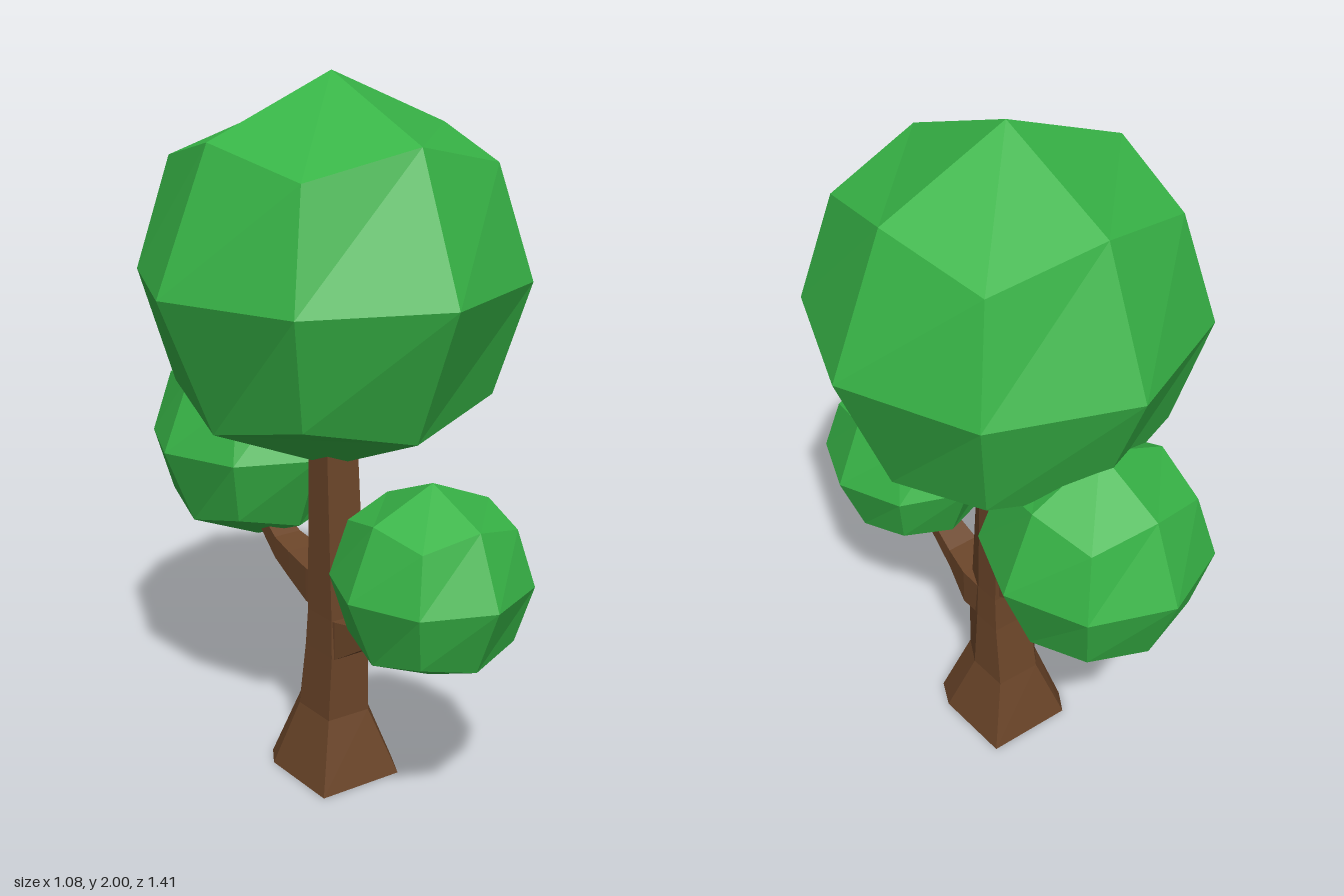
import * as THREE from 'three';

const bark = new THREE.MeshStandardMaterial({ color: 0x6b4529, flatShading: true });
const leaf = new THREE.MeshStandardMaterial({ color: 0x37b346, flatShading: true });

// Closed skin over rings of points, counter-clockwise seen from the last ring
function loft(name, rings) {
  const n = rings[0].length;
  const index = [];
  for (let r = 0; r < rings.length - 1; r++) {
    for (let i = 0; i < n; i++) {
      const j = (i + 1) % n;
      const a = r * n + i, b = r * n + j;
      index.push(a, b, b + n, a, b + n, a + n);
    }
  }
  const last = (rings.length - 1) * n;
  for (let i = 1; i < n - 1; i++) {
    index.push(0, i + 1, i, last, last + i, last + i + 1);
  }
  const geometry = new THREE.BufferGeometry();
  geometry.setAttribute('position', new THREE.Float32BufferAttribute(rings.flat(2), 3));
  geometry.setIndex(index);
  geometry.computeVertexNormals();
  const mesh = new THREE.Mesh(geometry, bark);
  mesh.name = name;
  return mesh;
}

// Six-sided trunk ring: a box with two opposite corners cut off
function trunkRing(y, x, front, back, cutX, cutFront, cutBack) {
  return [
    [-x, y, front - 0.005], [cutX, y, front], [x, y, cutFront],
    [x, y, back + 0.005], [-cutX, y, back], [-x, y, cutBack],
  ];
}

// Four-sided branch; dir is 1 towards the front and -1 towards the back
// each station: [z, lower y, upper y, half width]
function branch(name, dir, stations) {
  return loft(name, stations.map(([z, low, high, w]) => [
    [dir * w, low, z], [dir * w, high, z], [-dir * w, high, z], [-dir * w, low, z],
  ]));
}

// Leaf ball: a cube with 2 x 2 faces per side pushed out to a sphere
function crown(name, radius, y, z) {
  const geometry = new THREE.BoxGeometry(1, 1, 1, 2, 2, 2);
  const p = geometry.attributes.position;
  const v = new THREE.Vector3();
  for (let i = 0; i < p.count; i++) {
    v.fromBufferAttribute(p, i).setLength(radius);
    p.setXYZ(i, v.x, v.y, v.z);
  }
  geometry.computeVertexNormals();
  const mesh = new THREE.Mesh(geometry, leaf);
  mesh.name = name;
  mesh.position.set(0, y, z);
  return mesh;
}

export function createModel() {
  const tree = new THREE.Group();
  tree.name = 'tree';

  // Trunk flaring out at the foot
  tree.add(loft('trunk', [
    trunkRing(0, 0.15, 0.17, -0.155, 0.11, 0.09, -0.09),
    trunkRing(0.2, 0.09, 0.11, -0.1, 0.045, 0.03, -0.04),
    trunkRing(0.39, 0.078, 0.108, -0.065, 0.045, 0.03, -0.025),
    trunkRing(0.5, 0.073, 0.1, -0.055, 0.04, 0.03, -0.02),
    trunkRing(1.0, 0.065, 0.068, -0.062, 0.035, 0.025, -0.025),
  ]));

  // Branches reaching into the side crowns
  tree.add(branch('frontBranch', 1, [
    [0.03, 0.385, 0.495, 0.07], [0.105, 0.385, 0.5, 0.07],
    [0.2, 0.445, 0.51, 0.05], [0.3, 0.51, 0.56, 0.04], [0.38, 0.58, 0.62, 0.03],
  ]));
  tree.add(branch('backBranch', -1, [
    [0, 0.5, 0.605, 0.06], [-0.05, 0.51, 0.61, 0.06],
    [-0.15, 0.548, 0.627, 0.052], [-0.23, 0.58, 0.645, 0.045], [-0.36, 0.67, 0.72, 0.03],
  ]));

  // Leaf crowns
  tree.add(crown('mainCrown', 0.54, 1.46, -0.007));
  tree.add(crown('frontCrown', 0.27, 0.725, 0.44));
  tree.add(crown('backCrown', 0.315, 0.912, -0.39));
  return tree;
}
